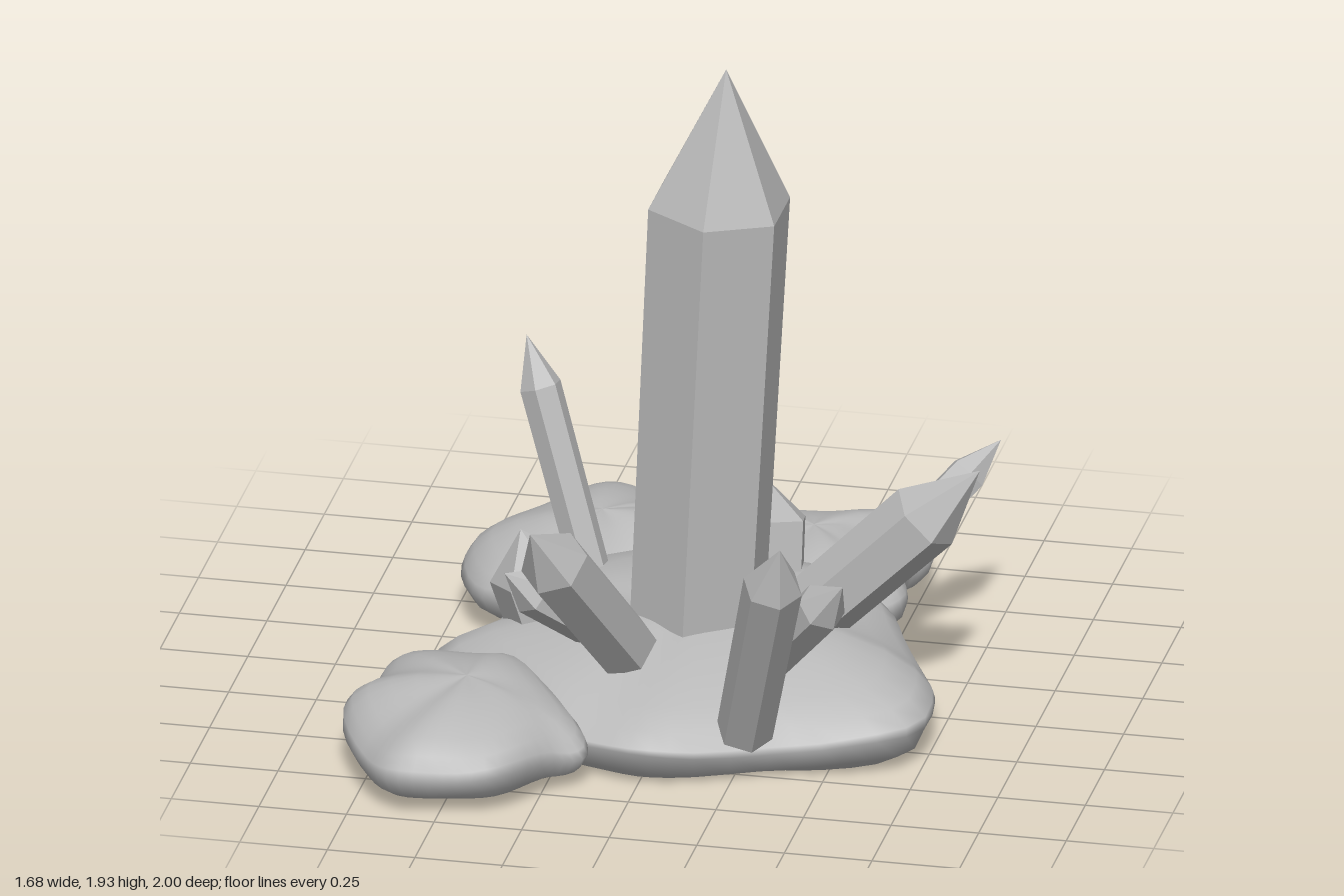
import * as THREE from 'three';

const stone = new THREE.MeshStandardMaterial({ color: 0xb8b8b8 });
stone.name = 'grey stone';
const facet = new THREE.MeshStandardMaterial({ color: 0xb8b8b8, flatShading: true });
facet.name = 'grey crystal';

// Six-sided pointed prism running from base to tip; point = length of the pointed end
function crystal(name, base, tip, r, point, roll) {
  const a = new THREE.Vector3(...base);
  const axis = new THREE.Vector3(...tip).sub(a);
  const len = axis.length();
  const profile = [[0, 0], [r * 0.95, 0], [r, len - point], [0, len]].map(p => new THREE.Vector2(...p));
  const geo = new THREE.LatheGeometry(profile, 6);
  // turn one edge towards the lean so a ridge runs along the top
  geo.rotateY(roll ?? Math.atan2(axis.x, axis.z));
  const mesh = new THREE.Mesh(geo, facet);
  mesh.name = name;
  mesh.position.copy(a);
  mesh.quaternion.setFromUnitVectors(new THREE.Vector3(0, 1, 0), axis.normalize());
  return mesh;
}

// Lumpy slab: plan outline (x, z) scaled through rings of [scale, height]
function rock(name, outline, centre, y0, height, lean, seed) {
  const N = 48;
  const curve = new THREE.CatmullRomCurve3(
    outline.map(([x, z]) => new THREE.Vector3(x, 0, z)), true, 'centripetal');
  const plan = curve.getPoints(N).slice(0, N);
  const rings = [[0, 0], [0.86, 0], [0.86, 0], [0.94, 0.1], [1, 0.32], [0.98, 0.45], [0.91, 0.6],
    [0.78, 0.75], [0.6, 0.87], [0.4, 0.96], [0.2, 1], [0, 1.01]];
  const pos = [], index = [];
  rings.forEach(([s, h], i) => {
    for (let j = 0; j < N; j++) {
      const t = j / N * Math.PI * 2;
      const wave = Math.sin(t * 3 + seed) + Math.sin(t * 5 - seed * 2 + i * 0.4);
      const k = s * (i > 2 && i !== 4 ? 1 + 0.012 * wave : 1);
      const x = centre[0] + (plan[j].x - centre[0]) * k;
      const z = centre[1] + (plan[j].z - centre[1]) * k;
      const bump = i > 4 ? 0.012 * wave * s - lean * z * h : i > 2 ? 0.008 * wave : 0;
      pos.push(x, y0 + height * h + bump, z);
      if (i === rings.length - 1 || i === 1) continue; // crisp rim around the flat base
      const a = i * N + j, b = i * N + (j + 1) % N;
      index.push(a, a + N, b + N, a, b + N, b);
    }
  });
  const geo = new THREE.BufferGeometry();
  geo.setAttribute('position', new THREE.Float32BufferAttribute(pos, 3));
  geo.setIndex(index);
  geo.computeVertexNormals();
  const mesh = new THREE.Mesh(geo, stone);
  mesh.name = name;
  return mesh;
}

export function createModel() {
  const group = new THREE.Group();
  group.name = 'crystalCluster';

  // Rock base
  group.add(
    rock('mainRock', [[0.74, 0.13], [0.74, 0.37], [0.56, 0.48], [0.4, 0.52], [0.15, 0.63], [0, 0.66],
      [-0.14, 0.63], [-0.32, 0.56], [-0.52, 0.36], [-0.69, 0.15], [-0.6, -0.05], [-0.55, -0.25],
      [-0.35, -0.42], [-0.05, -0.53], [0.2, -0.53], [0.4, -0.48], [0.52, -0.35], [0.59, -0.22],
      [0.7, 0]], [0.03, 0.04], 0, 0.31, 0.1, 1),
    rock('frontRightRock', [[-0.8, 0.45], [-0.8, 0.27], [-0.62, 0.2], [-0.45, 0.2], [-0.27, 0.45],
      [-0.13, 0.68], [-0.21, 0.76], [-0.33, 0.93], [-0.48, 0.98], [-0.64, 0.99], [-0.75, 0.85],
      [-0.84, 0.63]], [-0.5, 0.57], 0.04, 0.22, 0, 2.5),
    rock('backRightRock', [[-0.74, -0.46], [-0.66, -0.7], [-0.5, -0.87], [-0.33, -0.92], [-0.12, -0.86],
      [-0.03, -0.8], [0.01, -0.72], [-0.03, -0.55], [-0.15, -0.38], [-0.3, -0.27], [-0.45, -0.22],
      [-0.63, -0.23]], [-0.36, -0.56], 0.06, 0.23, 0, 4),
    rock('backLeftRock', [[0.25, -1], [0.46, -0.95], [0.53, -0.83], [0.48, -0.7], [0.52, -0.48],
      [0.43, -0.37], [0.2, -0.36], [0, -0.43], [-0.05, -0.65], [-0.11, -0.83], [0.05, -0.91]],
      [0.22, -0.67], 0.04, 0.21, 0, 5.5));

  // Crystals: name, base, tip, radius, point length, roll
  [
    ['mainCrystal', [0.035, 0.15, 0.03], [0.12, 1.93, 0.02], 0.208, 0.41, 0],
    ['leftCrystal', [0.3, 0.23, 0], [0.84, 0.765, 0], 0.108, 0.22],
    ['frontLeftCrystal', [0.28, 0.14, 0.51], [0.45, 0.845, 0.83], 0.085, 0.16],
    ['frontRightCrystal', [-0.1, 0.28, 0.33], [-0.285, 0.78, 0.73], 0.1, 0.17],
    ['smallFrontLeftCrystal', [0.27, 0.23, 0.27], [0.555, 0.595, 0.49], 0.072, 0.13],
    ['smallFrontRightCrystal', [-0.14, 0.25, 0.2], [-0.43, 0.505, 0.4], 0.075, 0.11],
    ['rightStub', [-0.35, 0.12, 0.03], [-0.46, 0.485, 0.05], 0.13, 0.13],
    ['backStub', [0.16, 0.14, -0.25], [0.14, 0.525, -0.37], 0.135, 0.12],
    ['backRightCrystal', [-0.12, 0.22, -0.52], [-0.215, 0.985, -0.8], 0.068, 0.18],
    ['thinRightCrystal', [-0.31, 0.24, -0.2], [-0.525, 0.91, -0.325], 0.06, 0.15],
    ['thinBackLeftCrystal', [0.44, 0.26, -0.28], [0.78, 0.615, -0.55], 0.057, 0.13],
  ].forEach(c => group.add(crystal(...c)));

  return group;
}
